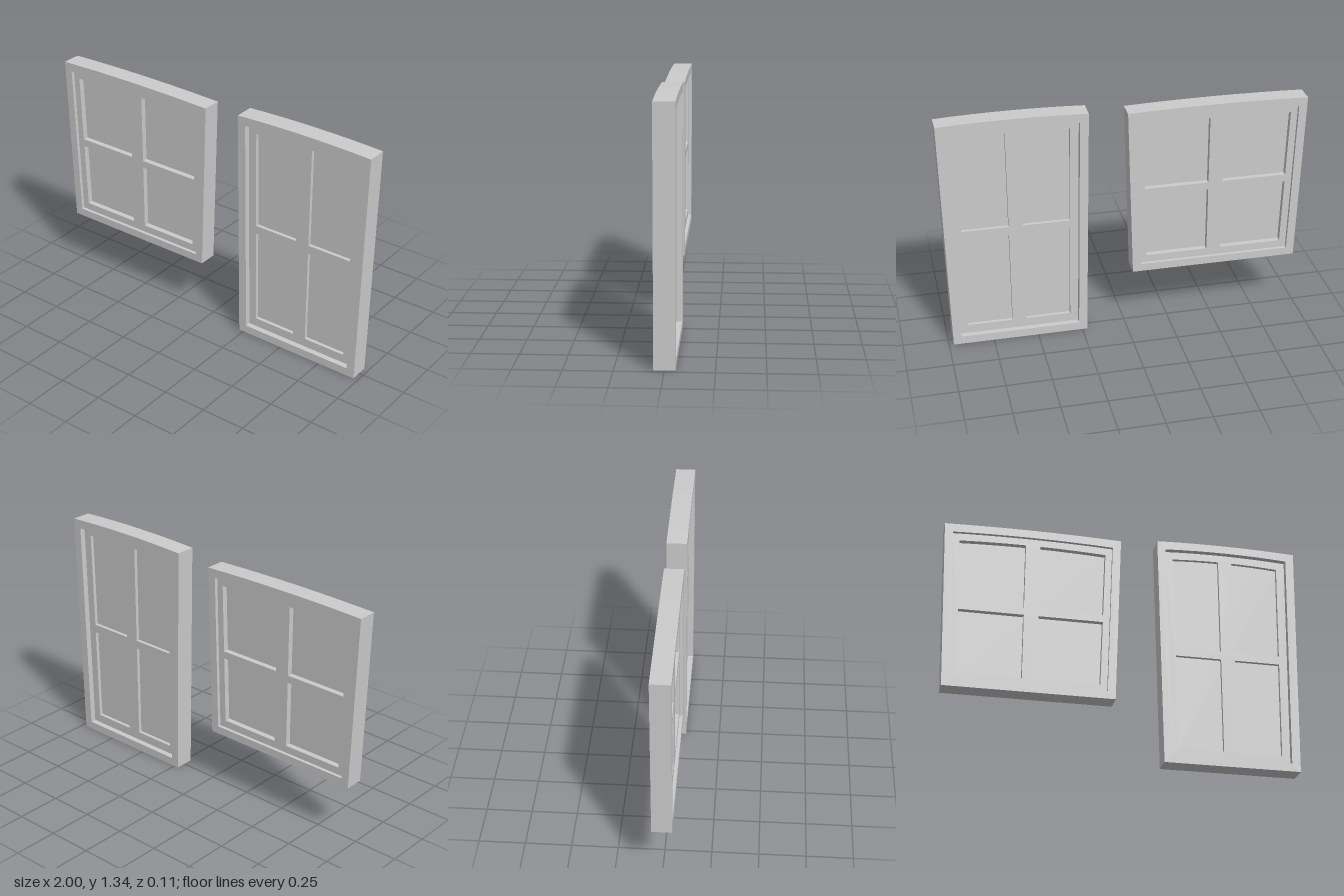
import * as THREE from 'three';

const material = new THREE.MeshStandardMaterial({ color: 0xcccccc, flatShading: true });
const ARCH_STEPS = 8;

// Half width of a tapered outline at height y
const halfAt = (o, y) => THREE.MathUtils.mapLinear(y, o.y0, o.y1, o.wBottom, o.wTop);
// Height of the gently arched top edge at x
const archAt = (o, x) => o.y1 + o.rise * (1 - (x / o.wTop) ** 2);

// Tapered, arched outline
function outline(o) {
  const pts = [[-o.wBottom, o.y0], [o.wBottom, o.y0]];
  for (let i = 0; i <= ARCH_STEPS; i++) {
    const x = o.wTop * (1 - (2 * i) / ARCH_STEPS);
    pts.push([x, archAt(o, x)]);
  }
  return pts.map(([x, y]) => new THREE.Vector2(x, y));
}

// One of the four lights: side is -1 or 1, upper lights follow the arch
function light(o, side, bar, upper, railLow, railHigh) {
  const pts = [];
  if (upper) {
    pts.push([bar, railHigh], [halfAt(o, railHigh), railHigh]);
    for (let i = 0; i <= ARCH_STEPS / 2; i++) {
      const x = THREE.MathUtils.lerp(o.wTop, bar, (2 * i) / ARCH_STEPS);
      pts.push([x, archAt(o, x)]);
    }
  } else {
    pts.push([bar, o.y0], [o.wBottom, o.y0], [halfAt(o, railLow), railLow], [bar, railLow]);
  }
  return pts.map(([x, y]) => new THREE.Vector2(side * x, y));
}

// Centred slab with optional openings
function slab(name, points, holes, depth) {
  const shape = new THREE.Shape(points);
  shape.holes = holes.map((h) => new THREE.Path(h));
  const geo = new THREE.ExtrudeGeometry(shape, { depth, bevelEnabled: false });
  geo.translate(0, 0, -depth / 2);
  const mesh = new THREE.Mesh(geo, material);
  mesh.name = name;
  return mesh;
}

function createWindow(name, w) {
  const group = new THREE.Group();
  group.name = name;
  group.position.x = w.x;

  const inner = outline(w.inner);
  const lights = [];
  for (const side of [-1, 1]) {
    for (const upper of [false, true]) {
      lights.push(light(w.glass, side, w.bar, upper, w.railLow, w.railHigh));
    }
  }
  group.add(
    slab('outerFrame', outline(w.outer), [inner], w.frameDepth),
    slab('sash', inner, lights, w.sashDepth),
    // Panel runs slightly into the sash
    slab('pane', outline({
      ...w.glass,
      y0: w.glass.y0 - 0.01, y1: w.glass.y1 + 0.01,
      wBottom: w.glass.wBottom + 0.01, wTop: w.glass.wTop + 0.01,
    }), [], 0.006),
  );
  return group;
}

export function createModel() {
  const model = new THREE.Group();
  model.name = 'windowPair';
  model.add(
    createWindow('wideWindow', {
      x: -0.506, frameDepth: 0.106, sashDepth: 0.068,
      outer: { y0: 0.336, y1: 1.302, rise: 0.009, wBottom: 0.465, wTop: 0.494 },
      inner: { y0: 0.38, y1: 1.255, rise: 0.01, wBottom: 0.422, wTop: 0.447 },
      glass: { y0: 0.422, y1: 1.214, rise: 0.011, wBottom: 0.385, wTop: 0.409 },
      bar: 0.04, railLow: 0.796, railHigh: 0.838,
    }),
    createWindow('tallWindow', {
      x: 0.598, frameDepth: 0.11, sashDepth: 0.046,
      outer: { y0: 0, y1: 1.326, rise: 0.01, wBottom: 0.376, wTop: 0.401 },
      inner: { y0: 0.046, y1: 1.279, rise: 0.011, wBottom: 0.33, wTop: 0.353 },
      glass: { y0: 0.096, y1: 1.236, rise: 0.011, wBottom: 0.286, wTop: 0.305 },
      bar: 0.039, railLow: 0.639, railHigh: 0.688,
    }),
  );
  return model;
}
